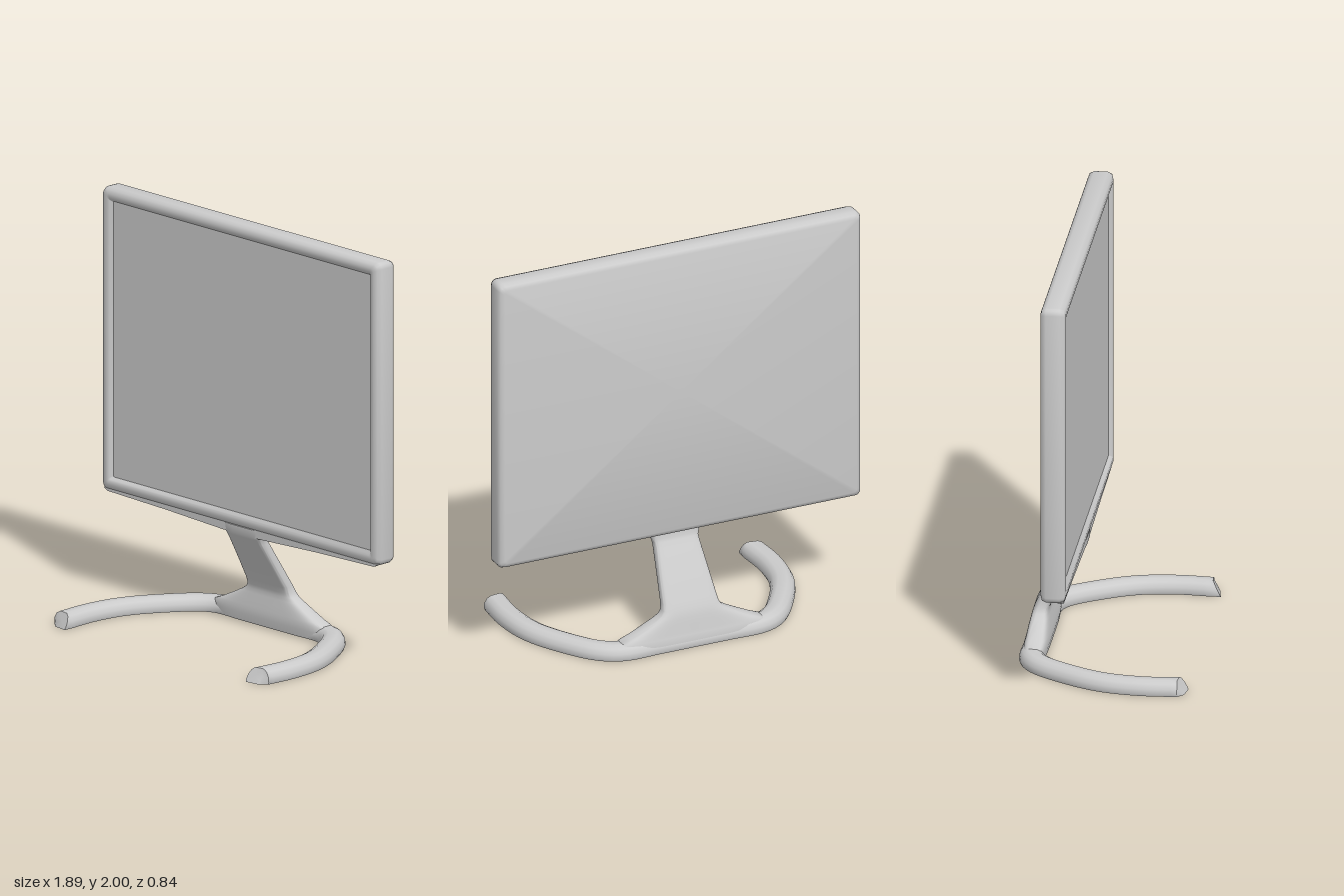
import * as THREE from 'three';
import { toCreasedNormals } from 'three/addons/utils/BufferGeometryUtils.js';

const material = new THREE.MeshStandardMaterial({ color: 0xcccccc });

// Skin a list of equal-length rings (each ring turns counter-clockwise about the loft direction).
function loft(rings, { endCap = true, crease = 0.6 } = {}) {
  const n = rings[0].length;
  const points = rings.flat();
  const index = [];
  for (let i = 0; i < rings.length - 1; i++) {
    for (let j = 0; j < n; j++) {
      const a = i * n + j, b = i * n + (j + 1) % n;
      index.push(a, b, b + n, a, b + n, a + n);
    }
  }
  const cap = (start, flip) => {
    const centre = points.length;
    const mid = new THREE.Vector3();
    for (let j = 0; j < n; j++) mid.addScaledVector(points[start + j], 1 / n);
    points.push(mid);
    for (let j = 0; j < n; j++) {
      const a = start + j, b = start + (j + 1) % n;
      if (flip) index.push(centre, b, a);
      else index.push(centre, a, b);
    }
  };
  cap(0, true);
  if (endCap) cap((rings.length - 1) * n, false);
  const geometry = new THREE.BufferGeometry().setFromPoints(points);
  geometry.setIndex(index);
  return toCreasedNormals(geometry, crease);
}

function add(group, name, geometry) {
  const mesh = new THREE.Mesh(geometry, material);
  mesh.name = name;
  group.add(mesh);
  return mesh;
}

// Upright rounded rectangle, inset from the outline of the display.
function panelRing(inset, z, radius) {
  const w = 0.945 - inset, h = 0.74 - inset, ring = [];
  const corners = [[1, 1], [-1, 1], [-1, -1], [1, -1]];
  corners.forEach(([sx, sy], c) => {
    for (let k = 0; k <= 4; k++) {
      const a = (c + k / 4) * Math.PI / 2;
      ring.push(new THREE.Vector3(
        sx * (w - radius) + radius * Math.cos(a),
        1.26 + sy * (h - radius) + radius * Math.sin(a), z));
    }
  });
  return ring;
}

// Level section of the neck: a squarish oval.
function neckRing([y, halfWidth, front, back]) {
  const ring = [];
  const power = v => Math.sign(v) * Math.abs(v) ** 0.45;
  for (let k = 0; k < 40; k++) {
    const a = k / 40 * Math.PI * 2;
    ring.push(new THREE.Vector3(
      halfWidth * power(Math.sin(a)), y,
      (front + back) / 2 + (front - back) / 2 * power(Math.cos(a))));
  }
  return ring;
}

// One horseshoe bar swept from tip to tip, with slanted ends.
function footGeometry() {
  const half = [[0.18, -0.36], [0.36, -0.358], [0.45, -0.31], [0.56, -0.165],
    [0.65, 0.015], [0.68, 0.2], [0.67, 0.4]];
  const path = [...half.map(([x, z]) => [-x, z]).reverse(), [0, -0.36], ...half];
  const curve = new THREE.CatmullRomCurve3(path.map(([x, z]) => new THREE.Vector3(x, 0, z)));
  const section = [[-0.055, 0], [0.055, 0], [0.06, 0.012], [0.058, 0.035], [0.045, 0.058],
    [0.022, 0.07], [-0.022, 0.07], [-0.045, 0.058], [-0.058, 0.035], [-0.06, 0.012]];
  const rings = [];
  const steps = 80;
  for (let i = 0; i <= steps; i++) {
    const t = i / steps;
    const p = curve.getPointAt(t), tan = curve.getTangentAt(t);
    const side = new THREE.Vector3(tan.z, 0, -tan.x);
    const isEnd = i === 0 || i === steps;
    const inward = i === 0 ? 1 : -1;
    rings.push(section.map(([s, y]) => {
      const u = isEnd ? s * 0.7 - 0.012 : s;
      const v = p.clone().addScaledVector(side, u);
      // The ends lean back with height and round off on the outer side.
      if (isEnd) v.addScaledVector(tan, inward * (y * 0.5 + u * 0.2 - 0.008));
      v.y = y;
      return v;
    }));
  }
  return loft(rings, { crease: 0.7 });
}

export function createModel() {
  const model = new THREE.Group();
  model.name = 'monitor';

  // Display housing with bevelled edges and a recessed front
  const display = new THREE.Group();
  display.name = 'display';
  model.add(display);
  const profile = [
    [0.028, -0.25, 0.02], [0.009, -0.243, 0.025], [0, -0.222, 0.03],
    [0, -0.158, 0.03], [0.009, -0.137, 0.025], [0.028, -0.13, 0.02],
    [0.046, -0.13, 0.01], [0.054, -0.135, 0.008], [0.066, -0.15, 0.005],
  ];
  add(display, 'housing', loft(profile.map(p => panelRing(...p)), { endCap: false, crease: 0.9 }));
  add(display, 'screen', new THREE.PlaneGeometry(1.758, 1.348)).position.set(0, 1.26, -0.15);

  // Shallow bowed chin, fading out towards the back
  const chinEdge = [[-0.935, 0.528], [-0.91, 0.514], [-0.5, 0.503], [-0.12, 0.487],
    [0.12, 0.487], [0.5, 0.503], [0.91, 0.514], [0.935, 0.528], [0.9, 0.54], [-0.9, 0.54]];
  const chinRing = (z, drop) => chinEdge.map(([x, y]) =>
    new THREE.Vector3(x, y > 0.53 ? y : 0.528 + (y - 0.528) * drop, z));
  add(display, 'chin', loft([chinRing(-0.225, 0.05), chinRing(-0.165, 0.95), chinRing(-0.14, 1)]));

  // Stand: slanted neck flaring into the foot
  const stand = new THREE.Group();
  stand.name = 'stand';
  model.add(stand);
  const neckSections = [ // height, half width, front z, back z
    [0.005, 0.37, -0.3, -0.415], [0.04, 0.38, -0.295, -0.418], [0.068, 0.37, -0.295, -0.41],
    [0.085, 0.325, -0.297, -0.406], [0.12, 0.25, -0.301, -0.4], [0.15, 0.19, -0.306, -0.393],
    [0.17, 0.158, -0.308, -0.388], [0.19, 0.145, -0.305, -0.38], [0.22, 0.14, -0.293, -0.366],
    [0.34, 0.127, -0.224, -0.296], [0.45, 0.115, -0.158, -0.232], [0.475, 0.115, -0.143, -0.215],
    [0.49, 0.122, -0.136, -0.208], [0.525, 0.13, -0.136, -0.205],
  ];
  add(stand, 'neck', loft(neckSections.map(neckRing), { crease: 0.9 }));
  add(stand, 'foot', footGeometry());

  return model;
}
